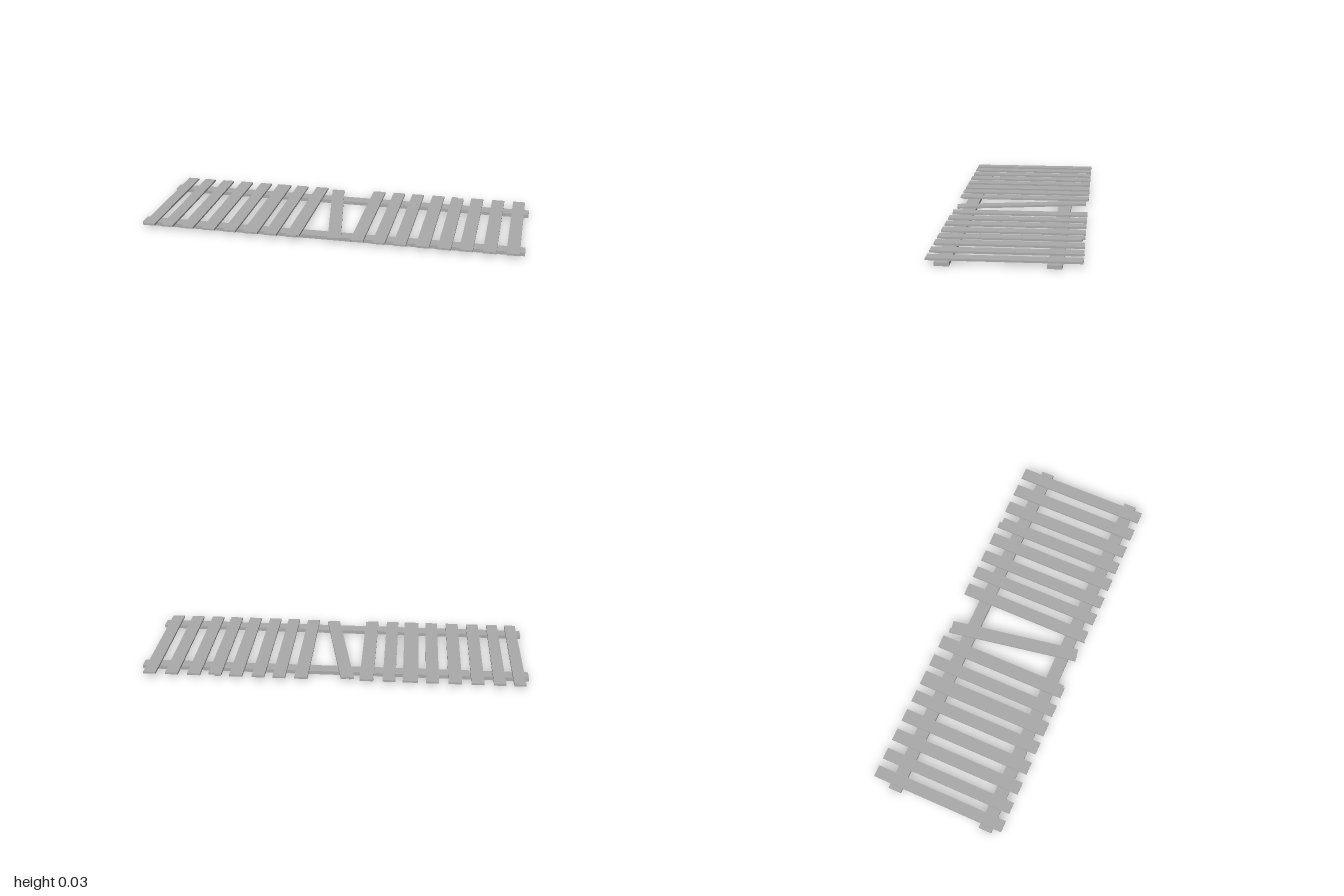
import * as THREE from 'three';

const RAIL_H = 0.018, TOP = 0.028, HALF = 0.356;

// Flat plank along z; notch is a small chip at one end: [+1 front / -1 back, depth, start x]
function plankGeometry(width, half, notch) {
  const w = width / 2;
  const front = notch && notch[0] > 0, back = notch && notch[0] < 0;
  const pts = [[-w, -half]];
  if (back) pts.push([notch[2], -half], [notch[2], -half + notch[1]], [w, -half + notch[1]]);
  else pts.push([w, -half]);
  if (front) pts.push([w, half - notch[1]], [notch[2], half - notch[1]], [notch[2], half]);
  else pts.push([w, half]);
  pts.push([-w, half]);
  const shape = new THREE.Shape(pts.map(([x, y]) => new THREE.Vector2(x, y)));
  const geo = new THREE.ExtrudeGeometry(shape, { depth: TOP - RAIL_H, bevelEnabled: false });
  geo.rotateX(Math.PI / 2); // lay flat, thickness downwards
  return geo;
}

export function createModel() {
  const model = new THREE.Group();
  model.name = 'picketFence';
  const wood = new THREE.MeshStandardMaterial({ color: 0xaaaaaa });
  wood.name = 'grey wood';

  const add = (name, geo, x, y, z) => {
    const mesh = new THREE.Mesh(geo, wood);
    mesh.name = name;
    mesh.position.set(x, y, z);
    model.add(mesh);
    return mesh;
  };

  // Two long rails underneath
  add('frontRail', new THREE.BoxGeometry(2, RAIL_H, 0.068), 0, RAIL_H / 2, 0.277);
  add('backRail', new THREE.BoxGeometry(2, RAIL_H, 0.068), 0, RAIL_H / 2, -0.23);

  // Upright pickets: [x, width, optional chip]
  const pickets = [
    [-0.948, 0.06], [-0.847, 0.06], [-0.737, 0.065], [-0.623, 0.068],
    [-0.508, 0.065], [-0.397, 0.078], [-0.289, 0.065], [-0.174, 0.07, [1, 0.01, 0.024]],
    [0.16, 0.067, [1, 0.006, -0.03]], [0.273, 0.065], [0.38, 0.065], [0.495, 0.068],
    [0.604, 0.067, [-1, 0.013, 0]], [0.712, 0.067], [0.828, 0.067], [0.942, 0.065],
  ];
  pickets.forEach(([x, w, notch], i) =>
    add('picket' + (i + 1), plankGeometry(w, HALF, notch), x, TOP, 0));

  // Loose picket hanging askew
  const loose = add('loosePicket', plankGeometry(0.067, 0.35, [-1, 0.008, -0.01]), -0.016, TOP, 0);
  loose.rotation.y = 0.176;

  return model;
}
